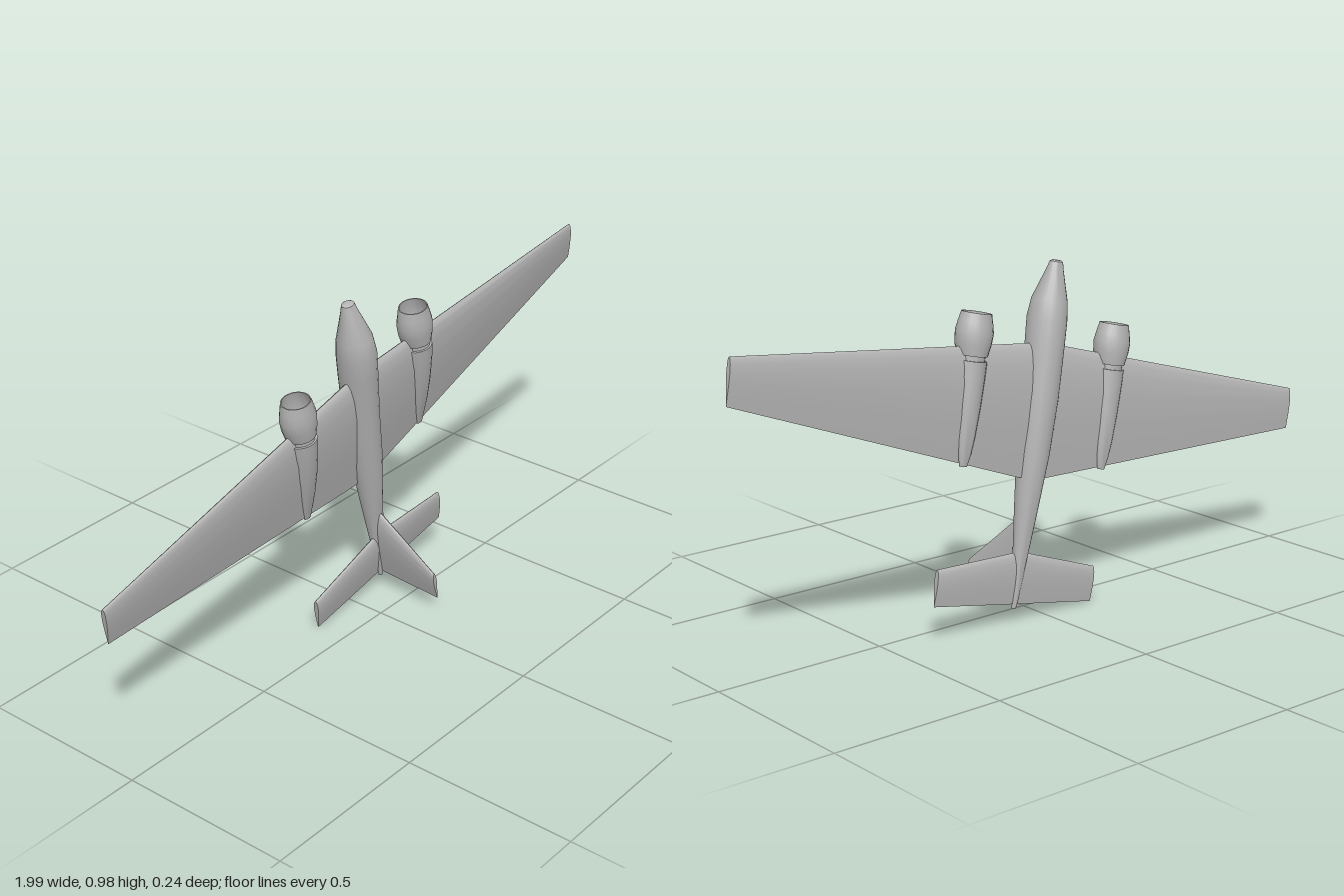
import * as THREE from 'three';
import { toCreasedNormals } from 'three/addons/utils/BufferGeometryUtils.js';

const grey = new THREE.MeshStandardMaterial({ color: 0xb4b4b4 });
grey.name = 'airframe grey';

// Skin a list of closed rings of [x, y, z] points and cap both ends.
function loft(name, rings, crease = 0.6) {
  const n = rings[0].length, pos = [], index = [];
  rings.forEach((ring) => ring.forEach((p) => pos.push(...p)));
  for (let i = 0; i < rings.length - 1; i++) {
    for (let j = 0; j < n; j++) {
      const k = (j + 1) % n;
      const a = i * n + j, b = i * n + k, c = a + n, d = b + n;
      index.push(a, b, c, b, d, c);
    }
  }
  [0, rings.length - 1].forEach((i) => {
    const centre = pos.length / 3;
    for (let axis = 0; axis < 3; axis++) {
      pos.push(rings[i].reduce((sum, p) => sum + p[axis], 0) / n);
    }
    for (let j = 0; j < n; j++) {
      const a = i * n + j, b = i * n + ((j + 1) % n);
      if (i === 0) index.push(centre, b, a);
      else index.push(centre, a, b);
    }
  });
  const geo = new THREE.BufferGeometry();
  geo.setAttribute('position', new THREE.Float32BufferAttribute(pos, 3));
  geo.setIndex(index);
  const mesh = new THREE.Mesh(toCreasedNormals(geo, crease), grey);
  mesh.name = name;
  return mesh;
}

// Round body from stations [y, radius in x, radius in z, centre z].
function roundBody(name, stations, sides = 20) {
  return loft(name, stations.map(([y, rx, rz, cz]) =>
    Array.from({ length: sides }, (_, j) => {
      const t = (j / sides) * Math.PI * 2;
      return [rx * Math.cos(t), y, cz + rz * Math.sin(t)];
    })));
}

// Symmetric aerofoil as [chord fraction, thickness fraction], nose to tail and back.
const half = [[0.015, 0.16], [0.06, 0.32], [0.16, 0.45], [0.34, 0.5], [0.6, 0.36], [0.82, 0.17]];
const foil = [[0, 0], ...half, [1, 0], ...half.slice().reverse().map(([s, h]) => [s, -h])];

// Wing through stations [x, lead y, lead z, trail y, trail z, thickness], mirrored across x.
function wing(name, stations) {
  const all = [...stations.slice().reverse().map(([x, ...r]) => [-x, ...r]), ...stations];
  return loft(name, all.map(([x, ly, lz, ty, tz, th]) =>
    foil.map(([s, h]) => [x, ly + (ty - ly) * s, lz + (tz - lz) * s + h * th])));
}

// Fin through stations [z, lead y, trail y, thickness].
function fin(name, stations) {
  return loft(name, stations.map(([z, ly, ty, th]) =>
    foil.map(([s, h]) => [-h * th, ly + (ty - ly) * s, z])));
}

// Engine with an open cowl, a narrow gap and a tapering fairing.
function engine(side) {
  const group = new THREE.Group();
  group.name = side > 0 ? 'leftEngine' : 'rightEngine';
  group.add(
    roundBody('cowl', [
      [0.125, 0.036, 0.036, -0.056], [0.165, 0.049, 0.045, -0.055], [0.216, 0.038, 0.038, -0.053],
      [0.216, 0.041, 0.041, -0.053], [0.19, 0.049, 0.044, -0.054], [0.165, 0.054, 0.048, -0.055],
      [0.135, 0.051, 0.047, -0.056], [0.103, 0.043, 0.042, -0.057],
    ]),
    roundBody('cowlGap', [[0.11, 0.037, 0.037, -0.057], [0.08, 0.037, 0.037, -0.057]]),
    roundBody('fairing', [
      [0.09, 0.044, 0.043, -0.057], [0.05, 0.043, 0.041, -0.06], [-0.03, 0.037, 0.034, -0.069],
      [-0.11, 0.028, 0.023, -0.079], [-0.155, 0.021, 0.014, -0.085], [-0.19, 0.012, 0.007, -0.088],
    ]),
  );
  group.position.x = side * 0.25;
  return group;
}

export function createModel() {
  // The aircraft is built nose up, then banked to its resting pose.
  const plane = new THREE.Group();
  plane.name = 'aircraft';

  plane.add(roundBody('fuselage', [
    [0.374, 0.012, 0.011, -0.055], [0.37, 0.019, 0.017, -0.055], [0.35, 0.024, 0.022, -0.054],
    [0.265, 0.05, 0.05, -0.05], [0.215, 0.055, 0.057, -0.051], [0.145, 0.054, 0.056, -0.057],
    [0, 0.052, 0.051, -0.069], [-0.15, 0.046, 0.046, -0.075], [-0.32, 0.032, 0.031, -0.081],
    [-0.47, 0.018, 0.017, -0.086], [-0.555, 0.01, 0.01, -0.09], [-0.582, 0.006, 0.006, -0.091],
  ]));

  plane.add(wing('mainWing', [
    [0.05, 0.145, -0.055, -0.218, -0.087, 0.045],
    [1.004, 0.064, -0.065, -0.056, -0.078, 0.016],
  ]));
  plane.add(wing('tailplane', [
    [0.01, -0.427, -0.08, -0.57, -0.092, 0.024],
    [0.283, -0.47, -0.083, -0.57, -0.091, 0.016],
  ]));
  plane.add(fin('tailFin', [
    [-0.09, -0.305, -0.565, 0.028],
    [0.118, -0.492, -0.58, 0.014],
  ]));
  [1, -1].forEach((side) => plane.add(engine(side)));

  plane.rotation.z = THREE.MathUtils.degToRad(11);
  plane.position.y = 0.617;

  const model = new THREE.Group();
  model.name = 'twinEngineAircraft';
  model.add(plane);
  return model;
}
